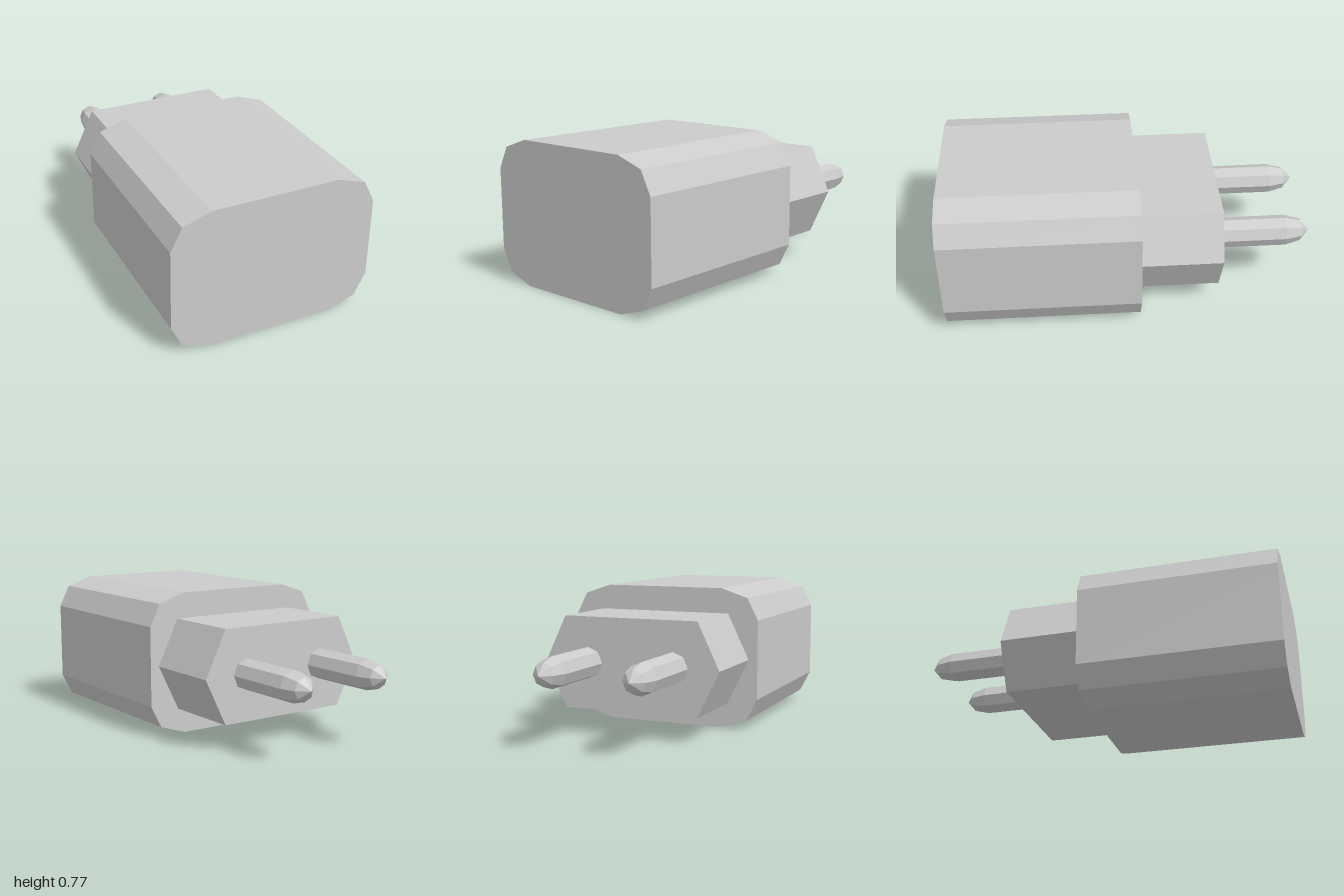
import * as THREE from 'three';

const MID_Y = 0.385;

// Outline mirrored into all four quadrants from the points of one quadrant (bottom right, going up).
function mirroredShape(quadrant) {
  const right = [...quadrant, ...quadrant.filter(([, y]) => y !== 0).reverse().map(([x, y]) => [x, -y])];
  const left = [...right].reverse().map(([x, y]) => [-x, y]);
  return new THREE.Shape([...right, ...left].map(([x, y]) => new THREE.Vector2(x, y)));
}

// Straight prism between two z planes.
function prism(quadrant, zBack, zFront) {
  const geometry = new THREE.ExtrudeGeometry(mirroredShape(quadrant), {
    depth: zFront - zBack, bevelEnabled: false, steps: 1,
  });
  return geometry.translate(0, MID_Y, zBack);
}

export function createModel() {
  const group = new THREE.Group();
  const material = new THREE.MeshStandardMaterial({ color: 0xcccccc, flatShading: true });
  const add = (name, geometry) => {
    const mesh = new THREE.Mesh(geometry, material);
    mesh.name = name;
    group.add(mesh);
    return mesh;
  };

  // Main housing with chamfered corners
  add('body', prism([[0.34, -0.385], [0.49, -0.335], [0.55, -0.216]], -0.055, 1));

  // Six-sided plug block behind the housing
  add('plugBlock', prism([[0.38, -0.248], [0.5, 0]], -0.495, -0.055));

  // Two eight-sided pins with tapered, pointed tips
  const profile = [[0, 0], [0.083, 0], [0.083, 0.37], [0.061, 0.453], [0, 0.505]];
  const pin = new THREE.LatheGeometry(profile.map(([r, h]) => new THREE.Vector2(r, h)), 8);
  pin.rotateX(-Math.PI / 2);
  for (const side of [1, -1]) {
    add(side > 0 ? 'leftPin' : 'rightPin', pin).position.set(side * 0.245, MID_Y + 0.002, -0.495);
  }

  return group;
}
